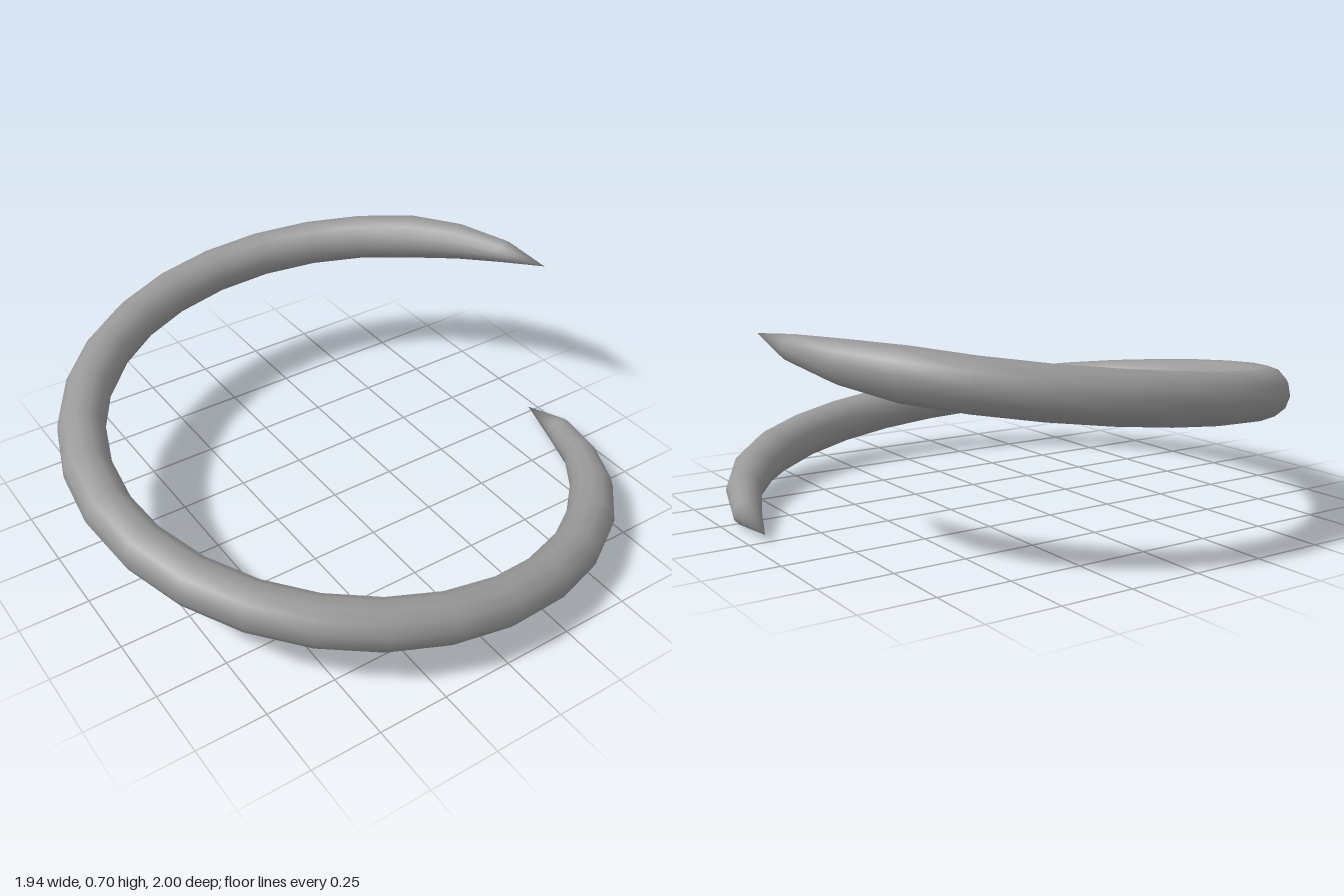
import * as THREE from 'three';
import { mergeVertices } from 'three/addons/utils/BufferGeometryUtils.js';

const SEGMENTS = 28, SIDES = 12;
const COIL_RADIUS = 0.915, TUBE_RADIUS = 0.084;
// Tube radius at the first rings from each tip
const LOWER_TAPER = [0, 0.049, 0.062, 0.077];
const UPPER_TAPER = [0, 0.042, 0.068];

// One rising turn of a helix
class CoilCurve extends THREE.Curve {
  getPoint(t, target = new THREE.Vector3()) {
    const a = t * Math.PI * 2;
    return target.set(0.03 + COIL_RADIUS * Math.cos(a), 0.025 + 0.652 * t, COIL_RADIUS * Math.sin(a));
  }
}

function taperedTube(curve) {
  let geometry = new THREE.TubeGeometry(curve, SEGMENTS, TUBE_RADIUS, SIDES, false);
  const pos = geometry.attributes.position;
  const p = new THREE.Vector3();
  // Pull each ring towards the centreline so both ends become points
  for (let ring = 0; ring <= SEGMENTS; ring++) {
    const centre = curve.getPointAt(ring / SEGMENTS);
    const radius = LOWER_TAPER[ring] ?? UPPER_TAPER[SEGMENTS - ring] ?? TUBE_RADIUS;
    for (let side = 0; side <= SIDES; side++) {
      const i = ring * (SIDES + 1) + side;
      p.fromBufferAttribute(pos, i).sub(centre).multiplyScalar(radius / TUBE_RADIUS).add(centre);
      pos.setXYZ(i, p.x, p.y, p.z);
    }
  }
  // Weld the seam and tips for smooth shading
  geometry.deleteAttribute('uv');
  geometry.deleteAttribute('normal');
  geometry = mergeVertices(geometry, 1e-4);
  geometry.computeVertexNormals();
  return geometry;
}

export function createModel() {
  const group = new THREE.Group();
  group.name = 'spiralRing';
  const coil = new THREE.Mesh(
    taperedTube(new CoilCurve()),
    new THREE.MeshStandardMaterial({ color: 0x999999 })
  );
  coil.name = 'taperedCoil';
  group.add(coil);
  return group;
}
